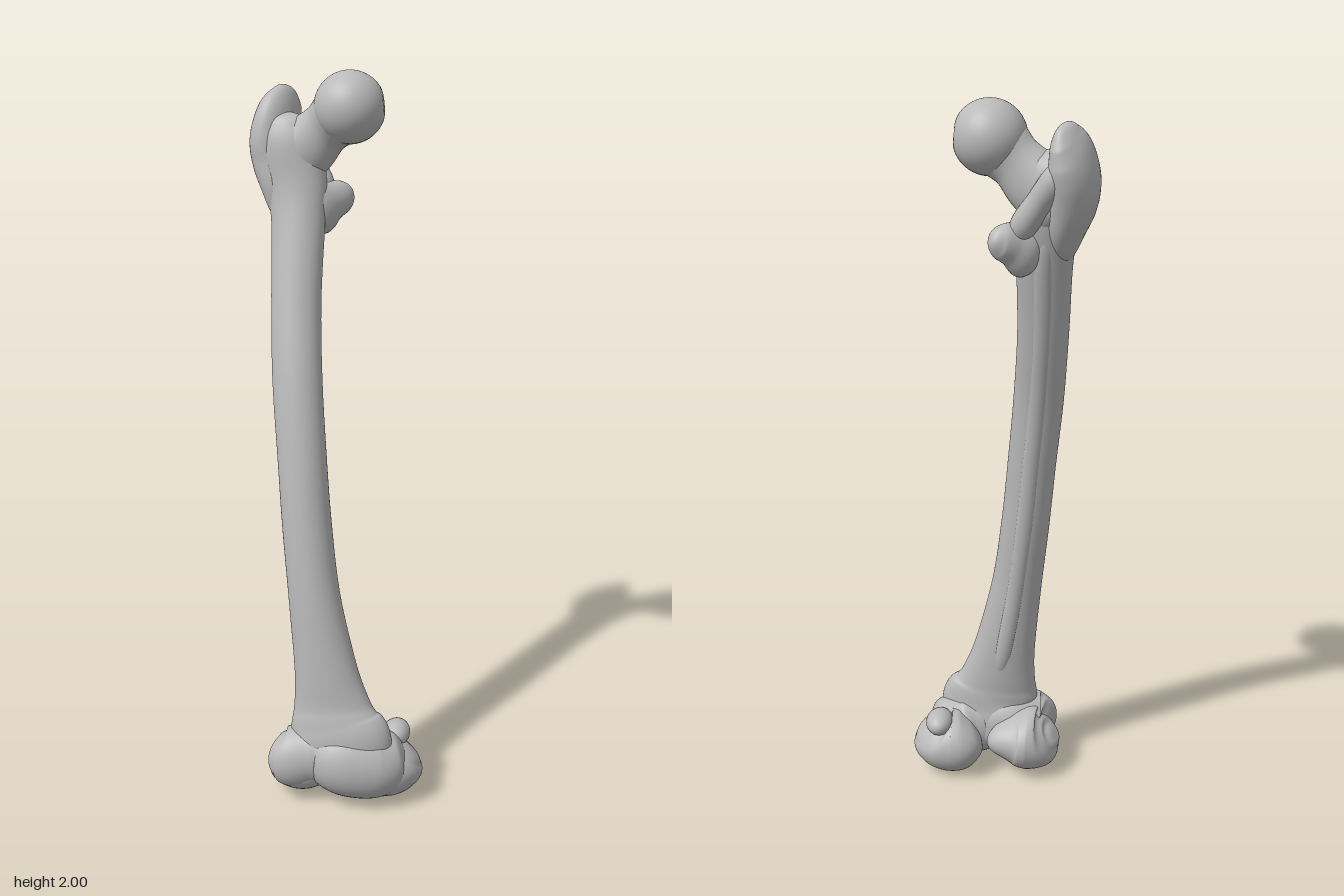
import * as THREE from 'three';

const bone = new THREE.MeshStandardMaterial({ color: 0xbababa });
bone.name = 'bone grey';

// Lofts elliptical sections [x, y, z, ru, rv] along a smooth path. Radii are
// interpolated as squares, so a zero-radius end closes as a round cap.
function loft(name, sections, ref, sides = 40) {
  const path = new THREE.CatmullRomCurve3(
    sections.map(s => new THREE.Vector3(s[0], s[1], s[2])), false, 'catmullrom', 0.5);
  const size = new THREE.CatmullRomCurve3(
    sections.map(s => new THREE.Vector3(s[3] ** 2, s[4] ** 2, 0)), false, 'catmullrom', 0.5);
  const side = new THREE.Vector3(...ref);
  const rings = sections.length * 9;
  const pos = [], index = [];
  for (let i = 0; i <= rings; i++) {
    const t = (1 - Math.cos(Math.PI * i / rings)) / 2;
    const c = path.getPoint(t), r = size.getPoint(t), dir = path.getTangent(t);
    const u = side.clone().addScaledVector(dir, -side.dot(dir)).normalize();
    const v = dir.clone().cross(u);
    const ru = Math.sqrt(Math.max(r.x, 1e-9)), rv = Math.sqrt(Math.max(r.y, 1e-9));
    for (let j = 0; j < sides; j++) {
      const a = 2 * Math.PI * j / sides;
      const p = c.clone().addScaledVector(u, ru * Math.cos(a)).addScaledVector(v, rv * Math.sin(a));
      pos.push(p.x, p.y, p.z);
      if (i < rings) {
        const k = i * sides + j, n = i * sides + (j + 1) % sides;
        index.push(k, n, k + sides, n, n + sides, k + sides);
      }
    }
  }
  const geo = new THREE.BufferGeometry();
  geo.setAttribute('position', new THREE.Float32BufferAttribute(pos, 3));
  geo.setIndex(index);
  geo.computeVertexNormals();
  const mesh = new THREE.Mesh(geo, bone);
  mesh.name = name;
  return mesh;
}

// Ball of the hip joint with a shallow pit on its inner side
function makeHead() {
  const R = 0.095, geo = new THREE.SphereGeometry(R, 48, 32);
  const pit = new THREE.Vector3(0.95, 0.1, -0.1).normalize().multiplyScalar(R);
  const p = geo.attributes.position, v = new THREE.Vector3();
  for (let i = 0; i < p.count; i++) {
    v.fromBufferAttribute(p, i);
    v.multiplyScalar(1 - 0.07 * Math.exp(-((v.distanceTo(pit) / 0.025) ** 2)));
    p.setXYZ(i, v.x, v.y, v.z);
  }
  geo.computeVertexNormals();
  const mesh = new THREE.Mesh(geo, bone);
  mesh.name = 'head';
  mesh.position.set(0.03, 1.905, -0.095);
  return mesh;
}

export function createModel() {
  const model = new THREE.Group();
  model.name = 'thighBone';
  const X = [1, 0, 0], Y = [0, 1, 0], Z = [0, 0, 1];

  // Bowed shaft, flaring at both ends
  const shaft = [
    [0.05, 0.05, 0.15, 0, 0],
    [0.05, 0.1, 0.155, 0.13, 0.065],
    [0.055, 0.19, 0.165, 0.15, 0.067],
    [0.04, 0.25, 0.16, 0.125, 0.062],
    [0.03, 0.3, 0.152, 0.107, 0.059],
    [0.012, 0.4, 0.143, 0.088, 0.062],
    [-0.022, 0.6, 0.125, 0.072, 0.064],
    [-0.048, 0.8, 0.098, 0.068, 0.065],
    [-0.068, 1.0, 0.068, 0.067, 0.061],
    [-0.088, 1.2, 0.028, 0.068, 0.056],
    [-0.102, 1.4, -0.028, 0.068, 0.055],
    [-0.108, 1.6, -0.085, 0.073, 0.055],
    [-0.118, 1.7, -0.11, 0.083, 0.058],
    [-0.14, 1.8, -0.125, 0.088, 0.063],
    [-0.148, 1.855, -0.13, 0.07, 0.05],
    [-0.15, 1.885, -0.135, 0, 0],
  ];
  model.add(loft('shaft', shaft, X, 56));

  // Low ridge down the back of the shaft
  const back = shaft.slice(4, 13).map(([x, y, z, , rz], i) => {
    const r = i === 0 || i === 8 ? 0 : 0.02;
    return [x, y, z - rz + 0.013, r * 1.3, r];
  });
  model.add(loft('backRidge', back, X, 20));

  // Upper end
  model.add(makeHead());
  model.add(loft('neck', [
    [-0.2, 1.74, -0.13, 0, 0],
    [-0.15, 1.765, -0.128, 0.064, 0.1],
    [-0.09, 1.8, -0.122, 0.058, 0.085],
    [-0.04, 1.845, -0.112, 0.056, 0.07],
    [0, 1.88, -0.1, 0.07, 0.077],
    [0.03, 1.9, -0.095, 0.05, 0.05],
  ], Z));
  model.add(loft('greaterTrochanter', [
    [-0.16, 1.6, -0.1, 0, 0],
    [-0.165, 1.68, -0.122, 0.045, 0.06],
    [-0.18, 1.75, -0.143, 0.058, 0.076],
    [-0.185, 1.81, -0.155, 0.058, 0.086],
    [-0.175, 1.87, -0.167, 0.05, 0.083],
    [-0.16, 1.915, -0.185, 0.032, 0.06],
    [-0.15, 1.942, -0.2, 0, 0],
  ], [0.92, 0, 0.38]));
  model.add(loft('crest', [
    [-0.16, 1.87, -0.2, 0, 0],
    [-0.14, 1.82, -0.195, 0.035, 0.035],
    [-0.1, 1.76, -0.175, 0.034, 0.034],
    [-0.06, 1.7, -0.155, 0.035, 0.035],
    [-0.03, 1.65, -0.145, 0, 0],
  ], Z, 28));
  model.add(loft('lesserTrochanter', [
    [-0.1, 1.62, -0.09, 0, 0],
    [-0.065, 1.635, -0.12, 0.075, 0.048],
    [-0.028, 1.652, -0.15, 0.056, 0.04],
    [0, 1.66, -0.174, 0.042, 0.032],
    [0.015, 1.664, -0.195, 0, 0],
  ], Y, 32));

  // Lower end: two knuckles joined in front by a grooved bridge
  model.add(loft('outerCondyle', [
    [-0.135, 0.125, 0.11, 0, 0],
    [-0.125, 0.118, 0.112, 0.05, 0.06],
    [-0.1, 0.108, 0.115, 0.088, 0.1],
    [-0.06, 0.107, 0.118, 0.095, 0.115],
    [-0.02, 0.11, 0.115, 0.085, 0.112],
    [0.015, 0.115, 0.11, 0.06, 0.085],
    [0.035, 0.12, 0.12, 0, 0],
  ], Y));
  model.add(loft('innerCondyle', [
    [0.085, 0.11, 0.11, 0, 0],
    [0.105, 0.105, 0.105, 0.065, 0.085],
    [0.14, 0.1, 0.1, 0.094, 0.106],
    [0.18, 0.1, 0.097, 0.098, 0.106],
    [0.215, 0.115, 0.093, 0.088, 0.094],
    [0.236, 0.135, 0.088, 0.058, 0.06],
    [0.245, 0.145, 0.085, 0, 0],
  ], Y));
  model.add(loft('kneeGroove', [
    [-0.122, 0.13, 0.17, 0, 0],
    [-0.108, 0.13, 0.177, 0.07, 0.06],
    [-0.08, 0.13, 0.179, 0.088, 0.072],
    [-0.03, 0.14, 0.166, 0.088, 0.077],
    [0.01, 0.145, 0.161, 0.09, 0.078],
    [0.06, 0.135, 0.175, 0.1, 0.083],
    [0.11, 0.125, 0.166, 0.103, 0.086],
    [0.16, 0.12, 0.145, 0.1, 0.088],
    [0.21, 0.13, 0.12, 0.075, 0.07],
    [0.237, 0.135, 0.11, 0, 0],
  ], Y));
  // Bump above the inner condyle
  const bump = new THREE.Mesh(new THREE.SphereGeometry(0.04, 28, 18), bone);
  bump.name = 'innerEpicondyle';
  bump.position.set(0.2, 0.172, 0.06);
  bump.scale.set(1, 0.9, 1.4);
  model.add(bump);

  return model;
}
